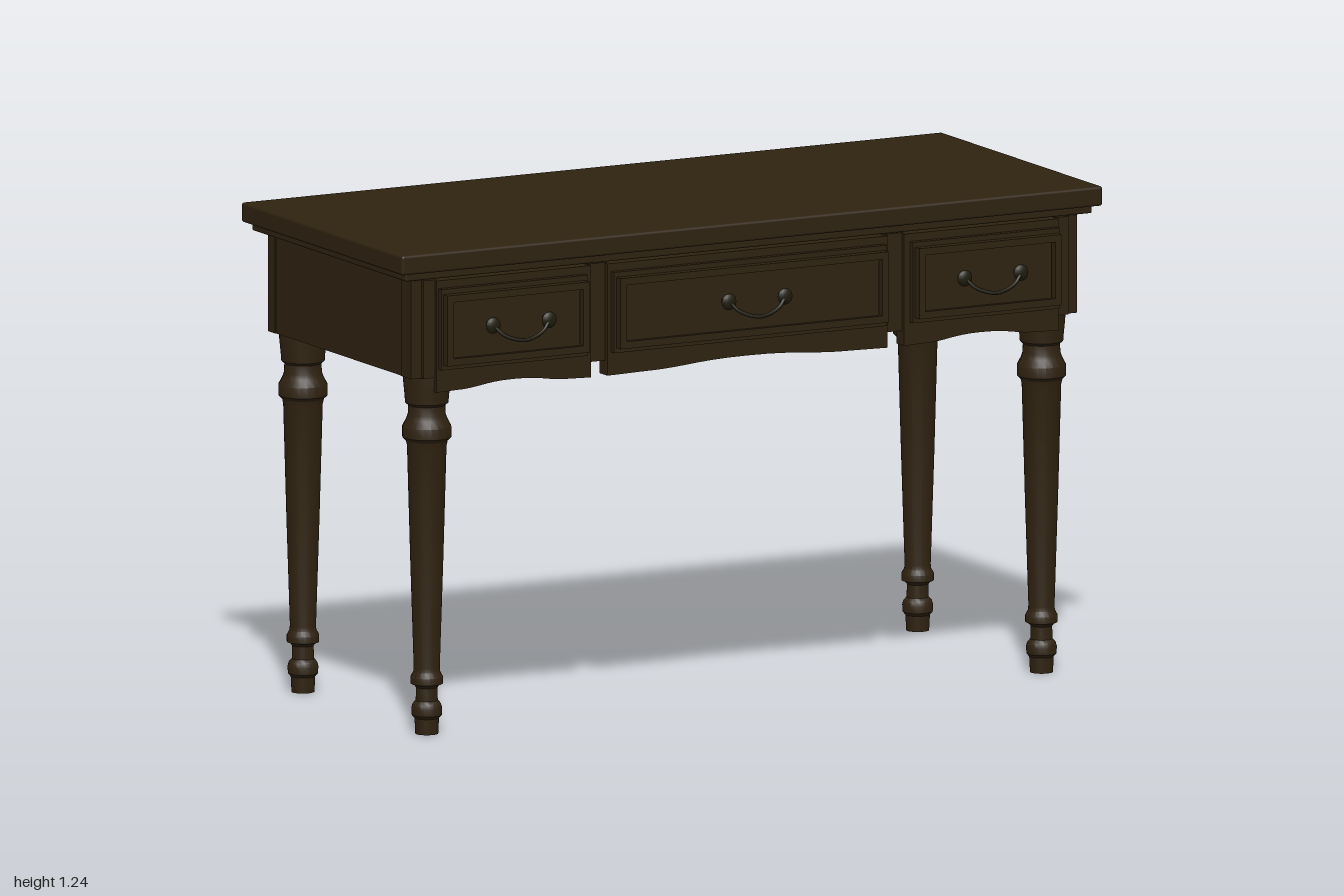
import * as THREE from 'three';
import { toCreasedNormals } from 'three/addons/utils/BufferGeometryUtils.js';
import { RoundedBoxGeometry } from 'three/addons/geometries/RoundedBoxGeometry.js';

const wood = new THREE.MeshStandardMaterial({ color: 0x2f2210 });
wood.name = 'dark walnut';
const metal = new THREE.MeshStandardMaterial({ color: 0x1f1b0e });
metal.name = 'aged bronze';

function add(parent, name, geometry, material = wood) {
  const mesh = new THREE.Mesh(geometry, material);
  mesh.name = name;
  parent.add(mesh);
  return mesh;
}

// Box given by its limits on each axis
function box(parent, name, x0, x1, y0, y1, z0, z1, radius = 0) {
  const size = [x1 - x0, y1 - y0, z1 - z0];
  const geo = radius ? new RoundedBoxGeometry(...size, 2, radius) : new THREE.BoxGeometry(...size);
  const mesh = add(parent, name, geo);
  mesh.position.set((x0 + x1) / 2, (y0 + y1) / 2, (z0 + z1) / 2);
  return mesh;
}

function extrude(shape, depth) {
  return new THREE.ExtrudeGeometry(shape, { depth, bevelEnabled: false, curveSegments: 8 });
}

// Front board of one bay with a shallow arched lower edge
function apron(parent, x0, x1) {
  const w = x1 - x0, c = (x0 + x1) / 2;
  const s = new THREE.Shape();
  s.moveTo(x0, 1.165);
  s.lineTo(x0, 0.88);
  s.lineTo(x0 + w * 0.12, 0.882);
  s.bezierCurveTo(x0 + w * 0.28, 0.882, c - w * 0.2, 0.896, c, 0.896);
  s.bezierCurveTo(c + w * 0.2, 0.896, x1 - w * 0.28, 0.882, x1 - w * 0.12, 0.882);
  s.lineTo(x1, 0.88);
  s.lineTo(x1, 1.165);
  add(parent, 'archedApron', extrude(s, 0.04)).position.z = 0.33;
}

// Rectangular picture-frame moulding
function frame(parent, w, h, bar, depth, z) {
  const rect = (p, a, b) => {
    p.moveTo(-a, -b);
    p.lineTo(a, -b);
    p.lineTo(a, b);
    p.lineTo(-a, b);
    p.closePath();
    return p;
  };
  const s = rect(new THREE.Shape(), w / 2, h / 2);
  s.holes.push(rect(new THREE.Path(), w / 2 - bar, h / 2 - bar));
  add(parent, 'drawerMoulding', extrude(s, depth)).position.z = z;
}

function handle() {
  const g = new THREE.Group();
  g.name = 'handle';
  for (const side of [-1, 1]) {
    const knob = add(g, 'handleKnob', new THREE.SphereGeometry(0.021, 14, 10), metal);
    knob.scale.z = 0.45;
    knob.position.set(side * 0.08, 0, 0.42);
    const stem = add(g, 'handleStem', new THREE.CylinderGeometry(0.008, 0.008, 0.03, 10), metal);
    stem.rotation.x = Math.PI / 2;
    stem.position.set(side * 0.08, 0, 0.405);
  }
  const path = new THREE.CatmullRomCurve3([
    new THREE.Vector3(-0.08, 0, 0.422), new THREE.Vector3(-0.055, -0.025, 0.433),
    new THREE.Vector3(0, -0.041, 0.442), new THREE.Vector3(0.055, -0.025, 0.433),
    new THREE.Vector3(0.08, 0, 0.422)]);
  add(g, 'handleBail', new THREE.TubeGeometry(path, 24, 0.005, 8), metal);
  return g;
}

// Raised drawer front with moulding and pull
function drawer(parent, x, w) {
  const g = new THREE.Group();
  g.name = 'drawer';
  g.position.set(x, 1.042, 0);
  box(g, 'drawerBase', -w / 2, w / 2, -0.103, 0.103, 0.365, 0.386);
  box(g, 'drawerPanel', -w / 2 + 0.028, w / 2 - 0.028, -0.075, 0.075, 0.38, 0.396);
  frame(g, w - 0.012, 0.18, 0.018, 0.023, 0.385);
  const pull = handle();
  pull.position.y = 0.006;
  g.add(pull);
  parent.add(g);
}

// Turned leg outline: radius, height
const legProfile = [
  [0, 0], [0.029, 0], [0.031, 0.04], [0.038, 0.048], [0.039, 0.065], [0.036, 0.076], [0.028, 0.085],
  [0.027, 0.118], [0.032, 0.124], [0.041, 0.128], [0.041, 0.145], [0.034, 0.158], [0.033, 0.17],
  [0.042, 0.45], [0.05, 0.735], [0.053, 0.748], [0.062, 0.757], [0.062, 0.784], [0.052, 0.803],
  [0.048, 0.815], [0.047, 0.838], [0.055, 0.845], [0.056, 0.86], [0.06, 0.9], [0.061, 0.93], [0, 0.93],
].map(([r, y]) => new THREE.Vector2(r, y));

export function createModel() {
  const desk = new THREE.Group();
  desk.name = 'writingDesk';

  // Top and the moulding under it
  box(desk, 'tableTop', -1, 1, 1.192, 1.242, -0.447, 0.397, 0.007);
  box(desk, 'topMoulding', -0.98, 0.98, 1.172, 1.194, -0.428, 0.378, 0.005);

  // Carcass
  const body = new THREE.Group();
  body.name = 'carcass';
  desk.add(body);
  box(body, 'backPanel', -0.93, 0.93, 0.917, 1.167, -0.39, -0.365);
  box(body, 'bottomPanel', -0.93, 0.93, 0.928, 0.938, -0.37, 0.335);
  box(body, 'frontRail', -0.93, 0.93, 0.917, 1.167, 0.31, 0.335);
  for (const s of [-1, 1]) {
    const span = (name, a, b, ...rest) =>
      box(body, name, Math.min(s * a, s * b), Math.max(s * a, s * b), ...rest);
    span('sidePanel', 0.92, 0.947, 0.917, 1.167, -0.39, 0.33);
    span('backPost', 0.915, 0.95, 0.917, 1.167, -0.398, -0.36);
    span('frontPost', 0.915, 0.95, 0.917, 1.167, 0.3, 0.352);
    span('frontStile', 0.885, 0.92, 0.917, 1.167, 0.33, 0.362);
    span('middleStile', 0.395, 0.45, 0.917, 1.167, 0.33, 0.358);
    span('drawerRunner', 0.413, 0.432, 0.918, 0.93, -0.37, 0.33);
  }

  // Drawer bays: centre, width
  for (const [x, w] of [[-0.667, 0.44], [0, 0.8], [0.667, 0.44]]) {
    apron(body, x - w / 2, x + w / 2);
    drawer(body, x + Math.sign(x) * 0.006, w - 0.022);
  }

  // Turned legs
  const legGeo = toCreasedNormals(new THREE.LatheGeometry(legProfile, 20), 0.5);
  for (const x of [-0.877, 0.877])
    for (const z of [-0.348, 0.3])
      add(desk, 'leg', legGeo).position.set(x, 0, z);

  return desk;
}
